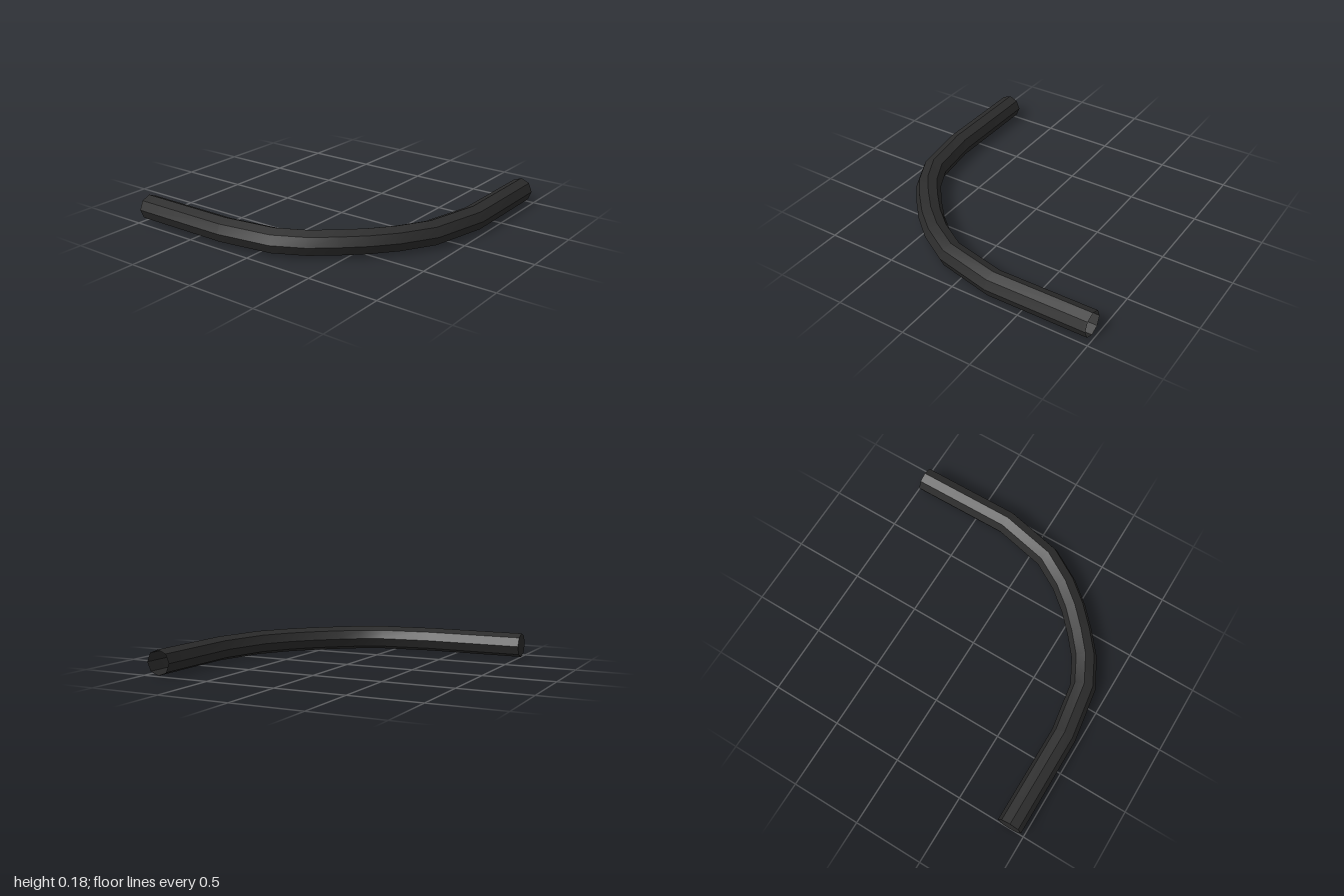
import * as THREE from 'three';
import { toCreasedNormals } from 'three/addons/utils/BufferGeometryUtils.js';

const SIDES = 8;
const RADIUS = 0.088;

// Centre line of the bent pipe as [x, z], from the capped end to the open end
const PATH = [
  [-0.89, -1], [-0.89, -0.28], [-0.835, 0.09], [-0.737, 0.285], [-0.62, 0.43],
  [-0.49, 0.57], [-0.342, 0.695], [-0.133, 0.82], [0.26, 0.908], [0.975, 0.902],
].map(([x, z]) => new THREE.Vector3(x, RADIUS, z));

// Octagonal pipe with mitred joints, closed at its first end only
function pipeGeometry(path, radius, sides) {
  const up = new THREE.Vector3(0, 1, 0);
  const positions = [];
  const index = [];
  const last = path.length - 1;
  const direction = (i) => path[i + 1].clone().sub(path[i]).normalize();

  path.forEach((centre, i) => {
    const before = direction(Math.max(i - 1, 0));
    const after = direction(Math.min(i, last - 1));
    const tangent = before.clone().add(after).normalize();
    const side = up.clone().cross(tangent);
    const mitre = radius / tangent.dot(after);
    for (let j = 0; j < sides; j++) {
      const a = (j / sides) * Math.PI * 2;
      const p = centre.clone()
        .addScaledVector(side, Math.cos(a) * mitre)
        .addScaledVector(up, Math.sin(a) * radius);
      positions.push(p.x, p.y, p.z);
    }
  });

  // Walls
  for (let i = 0; i < last; i++) {
    for (let j = 0; j < sides; j++) {
      const k = (j + 1) % sides;
      const a = i * sides + j, b = i * sides + k;
      index.push(a, b, a + sides, b, b + sides, a + sides);
    }
  }
  // End cap
  for (let j = 1; j < sides - 1; j++) index.push(0, j + 1, j);

  const geometry = new THREE.BufferGeometry();
  geometry.setAttribute('position', new THREE.Float32BufferAttribute(positions, 3));
  geometry.setIndex(index);
  // Sharp edges along the pipe, smooth shading through the bend
  return toCreasedNormals(geometry, Math.PI / 6);
}

export function createModel() {
  const group = new THREE.Group();
  group.name = 'bentPipe';
  const material = new THREE.MeshStandardMaterial({ color: 0x2b2b2b, side: THREE.DoubleSide });
  const pipe = new THREE.Mesh(pipeGeometry(PATH, RADIUS, SIDES), material);
  pipe.name = 'pipe';
  group.add(pipe);
  return group;
}
